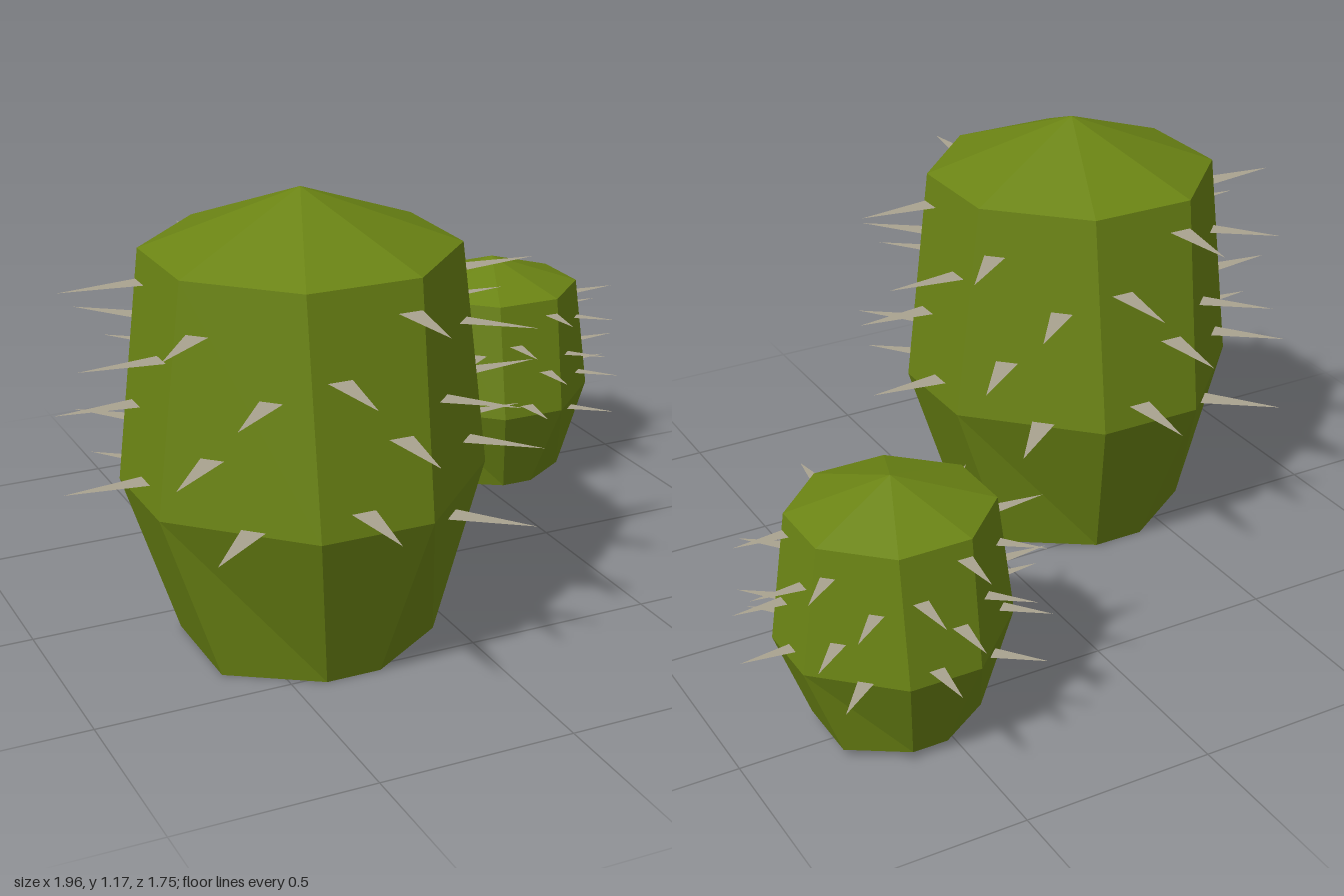
import * as THREE from 'three';

const bodyMat = new THREE.MeshStandardMaterial({ color: 0x6b8414, flatShading: true });
const spineMat = new THREE.MeshStandardMaterial({ color: 0xaaa390, flatShading: true, side: THREE.DoubleSide });

// Eight-cornered ring: a = distance to the flats, f / s = half widths of front and side flats
function ring(y, a, f, s) {
  return [[-f, a], [f, a], [a, s], [a, -s], [f, -a], [-f, -a], [-a, -s], [-a, s]]
    .map(([x, z]) => [x, y, z]);
}

// Faceted barrel from three rings, closed by a low pointed crown and a flat base
function bodyGeometry() {
  const rings = [ring(0, 0.29, 0.072, 0.145), ring(0.44, 0.435, 0.145, 0.145), ring(1.025, 0.365, 0.145, 0.145)];
  const pos = [];
  const tri = (...pts) => pts.forEach((p) => pos.push(...p));
  for (let i = 0; i < 8; i++) {
    const j = (i + 1) % 8;
    for (let k = 0; k < 2; k++) {
      const lo = rings[k], up = rings[k + 1];
      tri(lo[i], lo[j], up[i]);
      tri(lo[j], up[j], up[i]);
    }
    tri(rings[2][i], rings[2][j], [0, 1.17, 0]);
    tri(rings[0][j], rings[0][i], [0, 0, 0]);
  }
  const geo = new THREE.BufferGeometry();
  geo.setAttribute('position', new THREE.Float32BufferAttribute(pos, 3));
  geo.computeVertexNormals();
  return geo;
}

// Flat horizontal spine pointing along +z
function spineGeometry() {
  const geo = new THREE.BufferGeometry();
  geo.setAttribute('position', new THREE.Float32BufferAttribute([-0.034, 0, -0.02, 0.034, 0, -0.02, 0, 0, 0.205], 3));
  geo.computeVertexNormals();
  return geo;
}

const bodyGeo = bodyGeometry();
const spineGeo = spineGeometry();

// Four staggered spines per flat: sideways offset and height
const spinePattern = [[0.11, 0.95], [-0.075, 0.815], [0.07, 0.66], [-0.035, 0.5]];
// Mirroring and height shift of the pattern, repeating every half turn
const flats = [[1, 0], [1, -0.11], [-1, 0], [-1, -0.05]];

function cactus(name) {
  const group = new THREE.Group();
  group.name = name;
  const body = new THREE.Mesh(bodyGeo, bodyMat);
  body.name = 'body';
  group.add(body);

  const spines = new THREE.Group();
  spines.name = 'spines';
  for (let i = 0; i < 8; i++) {
    const [mirror, shift] = flats[i % 4];
    const side = new THREE.Group();
    side.name = 'spineCluster';
    side.rotation.y = i * Math.PI / 4;
    const reach = i % 2 ? 0.41 : 0.435;
    for (const [t, h] of spinePattern) {
      const y = h + shift;
      const spine = new THREE.Mesh(spineGeo, spineMat);
      spine.name = 'spine';
      spine.position.set(t * mirror, y, reach - Math.max(0, y - 0.44) * 0.12);
      side.add(spine);
    }
    spines.add(side);
  }
  group.add(spines);
  return group;
}

export function createModel() {
  const model = new THREE.Group();
  model.name = 'cacti';

  const large = cactus('largeCactus');
  large.position.set(-0.345, 0, 0.238);

  const small = cactus('smallCactus');
  small.position.set(0.577, 0.02, -0.49);
  small.scale.set(0.645, 0.562, 0.62);

  model.add(large, small);
  return model;
}
